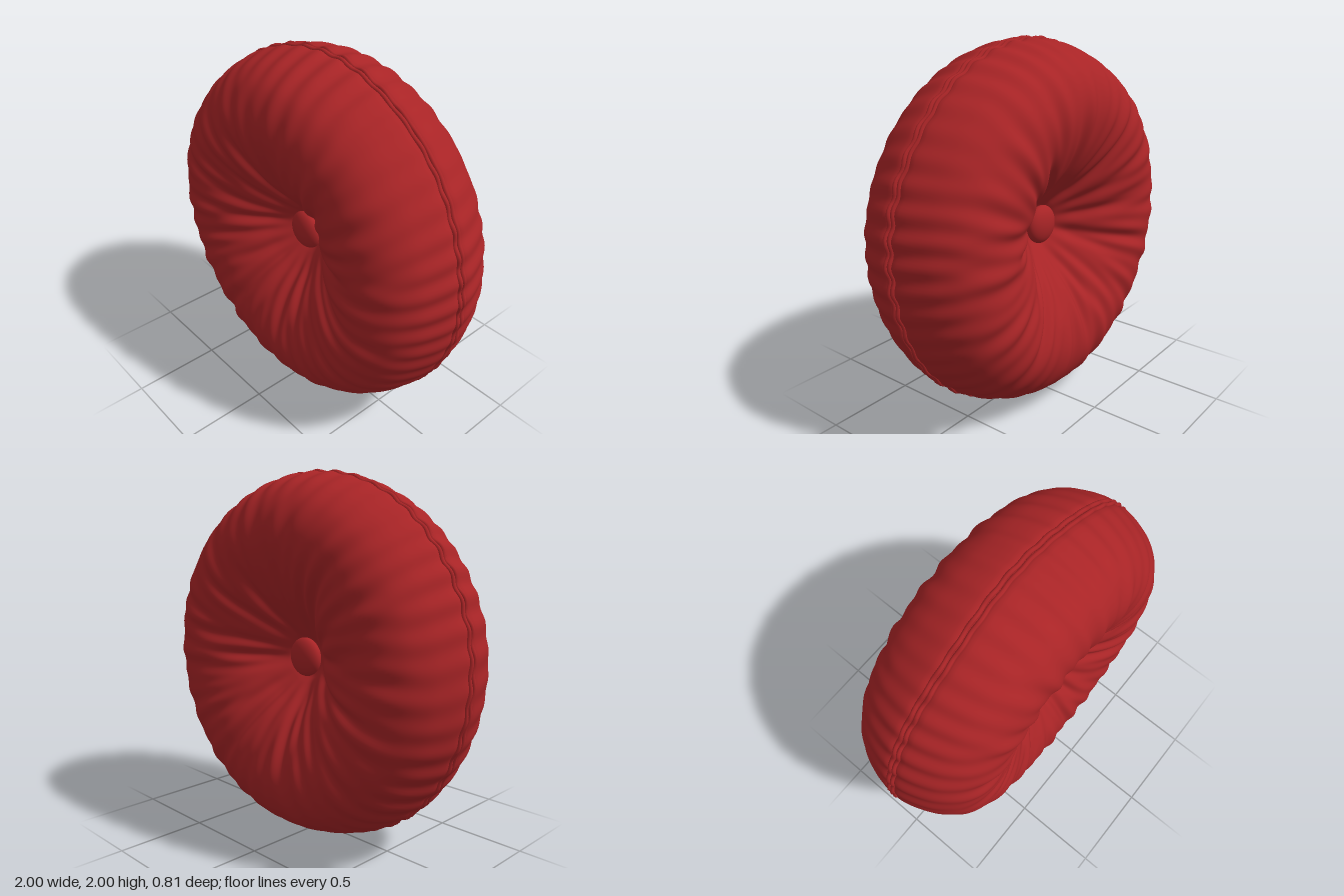
import * as THREE from 'three';

const DEG = Math.PI / 180;
const smooth = THREE.MathUtils.smoothstep;

// Crease directions around the button, in degrees
const FRONT = [8, 32, 46, 63, 90, 114, 140, 163, 180, 197, 220, 238, 257, 274, 292, 308, 330, 345];
const BACK = FRONT.map((a, i) => 180 - a + 4 * Math.sin(i * 2.3));

// Half cross-section: radius from the axis, and height above the middle plane
const PROFILE = [
  [0, 0.06], [0.09, 0.075], [0.14, 0.125], [0.22, 0.2], [0.35, 0.302], [0.5, 0.372], [0.64, 0.397],
  [0.75, 0.378], [0.85, 0.32], [0.92, 0.235], [0.962, 0.14], [0.983, 0.06], [0.984, 0.025], [0.965, 0],
];

// Small gathers along the rim, slightly irregular
function gather(a) {
  return Math.sin(46 * a + 1.2 * Math.sin(3 * a)) * (0.7 + 0.3 * Math.sin(5 * a + 1));
}

// Sideways wander of the seam
function seamWave(a) {
  return 0.006 * Math.sin(3 * a + 0.6) + 0.003 * Math.sin(46 * a) + 0.004 * Math.sin(7 * a);
}

// Depth of the radial creases at a radius and angle
function creaseDepth(r, a, creases) {
  let d = 0;
  creases.forEach((deg, i) => {
    const bend = 0.12 * Math.sin(i * 1.7) * (r - 0.2);
    const off = Math.atan2(Math.sin(a - deg * DEG - bend), Math.cos(a - deg * DEG - bend));
    const width = 0.028 + 0.014 * r;
    const dist = off * r;
    const reach = 0.62 + 0.2 * Math.sin(i * 2.9 + 1);
    const strength = smooth(r, 0.07, 0.25) * (1 - smooth(r, 0.3, reach + 0.1));
    d += (0.032 + 0.012 * Math.sin(i * 4.1)) * strength * Math.exp(-(dist * dist) / (width * width));
  });
  return d;
}

function cushionGeometry() {
  const curve = new THREE.CatmullRomCurve3(PROFILE.map(([r, z]) => new THREE.Vector3(r, z, 0)), false, 'centripetal');
  const half = 64, segs = 360, rows = half * 2;
  const pos = [], index = [];
  for (let j = 0; j <= rows; j++) {
    const side = j <= half ? 1 : -1;
    const t = (j <= half ? j : rows - j) / half;
    const p = curve.getPointAt(t), tan = curve.getTangentAt(t);
    const nr = -tan.y, nz = tan.x; // outward normal of the section
    for (let i = 0; i < segs; i++) {
      const a = (i / segs) * Math.PI * 2;
      const r0 = Math.max(p.x, 0);
      const crease = creaseDepth(r0, a, side > 0 ? FRONT : BACK);
      const rim = smooth(r0, 0.72, 0.97);
      const soft = smooth(r0, 0.3, 0.6) * (1 - rim);
      const swell = 0.005 * soft * (Math.sin(23 * a + 4 * r0 + side) + Math.sin(37 * a - 5 * r0));
      const push = swell - crease;
      const r = r0 + Math.max(nr, 0) * push + 0.007 * rim * gather(a + side * p.y * 0.12);
      const z = side * (p.y + nz * push) + seamWave(a) * smooth(r0, 0.85, 0.97);
      pos.push(r * Math.cos(a), r * Math.sin(a), z);
      if (j < rows) {
        const n = (i + 1) % segs, u = j * segs, v = u + segs;
        index.push(u + i, v + i, v + n, u + i, v + n, u + n);
      }
    }
  }
  const g = new THREE.BufferGeometry();
  g.setAttribute('position', new THREE.Float32BufferAttribute(pos, 3));
  g.setIndex(index);
  g.computeVertexNormals();
  return g;
}

// One rolled edge of the seam, following the gathered rim
function seamGeometry(side) {
  const pts = [];
  for (let i = 0; i < 276; i++) {
    const a = (i / 276) * Math.PI * 2;
    const r = 0.981 + 0.007 * gather(a) + 0.002 * Math.sin(46 * a + side);
    pts.push(new THREE.Vector3(r * Math.cos(a), r * Math.sin(a), side * 0.013 + seamWave(a)));
  }
  return new THREE.TubeGeometry(new THREE.CatmullRomCurve3(pts, true), 414, 0.012, 8, true);
}

export function createModel() {
  const fabric = new THREE.MeshStandardMaterial({ color: 0xa82426 });
  fabric.name = 'red fabric';
  const model = new THREE.Group();
  model.name = 'roundCushion';
  const add = (name, geometry) => {
    const mesh = new THREE.Mesh(geometry, fabric);
    mesh.name = name;
    mesh.position.y = 1;
    model.add(mesh);
    return mesh;
  };

  add('cushionBody', cushionGeometry());

  for (const side of [1, -1]) {
    const end = side > 0 ? 'front' : 'back';
    add(end + 'Seam', seamGeometry(side));
    // Domed button sunk in the centre
    const button = add(end + 'Button', new THREE.SphereGeometry(0.106, 40, 24));
    button.scale.z = 0.5;
    button.position.set(0, 1.005, side * 0.115);
  }
  return model;
}
